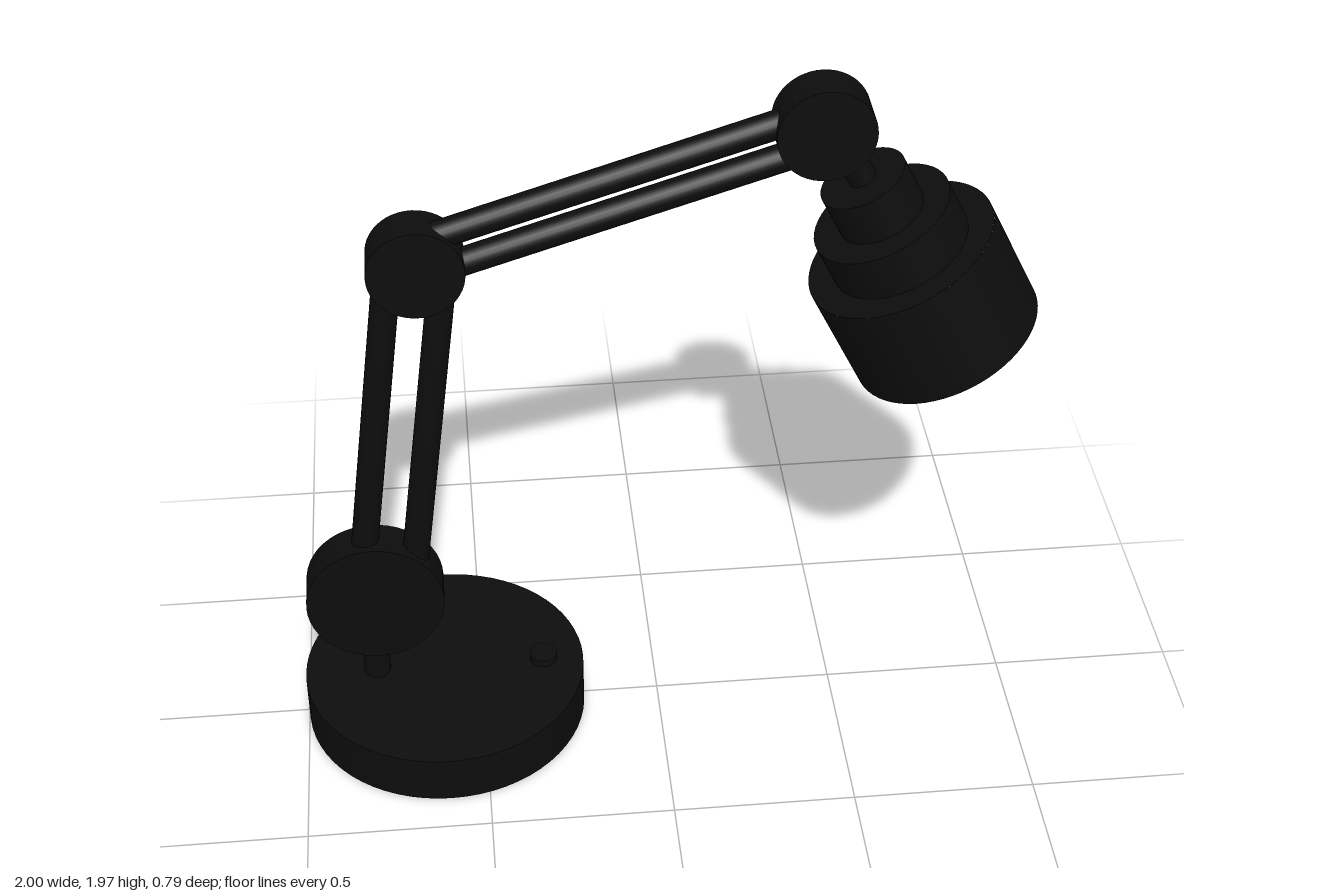
import * as THREE from 'three';

export function createModel() {
  const model = new THREE.Group();
  model.name = 'deskLamp';
  const black = new THREE.MeshStandardMaterial({ color: 0x0d0d0d });
  black.name = 'black';
  const light = new THREE.MeshStandardMaterial({ color: 0xcccccc });
  light.name = 'lightGrey';

  const add = (name, geometry, material, x, y, parent = model) => {
    const mesh = new THREE.Mesh(geometry, material);
    mesh.name = name;
    mesh.position.set(x, y, 0);
    parent.add(mesh);
    return mesh;
  };
  const cylinder = (r, h, sides = 48) => new THREE.CylinderGeometry(r, r, h, sides);

  // Round rod between two points in the plane of the lamp
  const rod = (name, x1, y1, x2, y2) => {
    const length = Math.hypot(x2 - x1, y2 - y1);
    const mesh = add(name, cylinder(0.037, length, 24), black, (x1 + x2) / 2, (y1 + y2) / 2);
    mesh.rotation.z = Math.atan2(y2 - y1, x2 - x1) - Math.PI / 2;
  };

  // Base with switch and post
  add('base', cylinder(0.394, 0.14, 64), black, -0.606, 0.07);
  add('switchButton', cylinder(0.039, 0.03, 24), black, -0.325, 0.147);
  add('post', cylinder(0.037, 0.24, 24), black, -0.797, 0.24);

  // Flat round joints facing front and back
  const joints = [
    ['baseJoint', -0.785, 0.43, 0.19],
    ['elbowJoint', -0.615, 1.503, 0.126],
    ['headJoint', 0.418, 1.848, 0.126],
  ];
  for (const [name, x, y, r] of joints) {
    add(name, cylinder(r, 0.114), black, x, y).rotation.x = Math.PI / 2;
  }

  // Paired arm rods
  rod('lowerArmRearRod', -0.825, 0.43, -0.685, 1.5);
  rod('lowerArmFrontRod', -0.682, 0.43, -0.545, 1.48);
  rod('upperArmTopRod', -0.6, 1.573, 0.4, 1.89);
  rod('upperArmBottomRod', -0.6, 1.471, 0.4, 1.789);

  // Tilted head, origin at the centre of the open rim
  const head = new THREE.Group();
  head.name = 'head';
  head.position.set(0.767, 1.195, 0);
  head.rotation.z = 0.461;
  model.add(head);

  // Shade wall is split into a dark arc and a narrow light strip at the back
  const R = 0.258, H = 0.31, strip = 0.35;
  const arc = (start, length, segments) =>
    new THREE.CylinderGeometry(R, R, H, segments, 1, true, start, length);
  add('shadeWall', arc(Math.PI + strip, Math.PI * 2 - strip, 60), black, 0, H / 2, head);
  add('shadeStrip', arc(Math.PI, strip, 4), light, 0, H / 2, head);
  const disc = new THREE.CircleGeometry(R, 64);
  add('shadeTop', disc, black, 0, H, head).rotation.x = -Math.PI / 2;
  add('lightPanel', disc, light, 0, 0, head).rotation.x = Math.PI / 2;

  // Stepped cap and neck
  add('middleStep', cylinder(0.188, 0.123), black, 0, 0.3715, head);
  add('topStep', cylinder(0.116, 0.12), black, 0, 0.493, head);
  add('neck', cylinder(0.037, 0.2, 24), black, 0, 0.63, head);

  return model;
}
